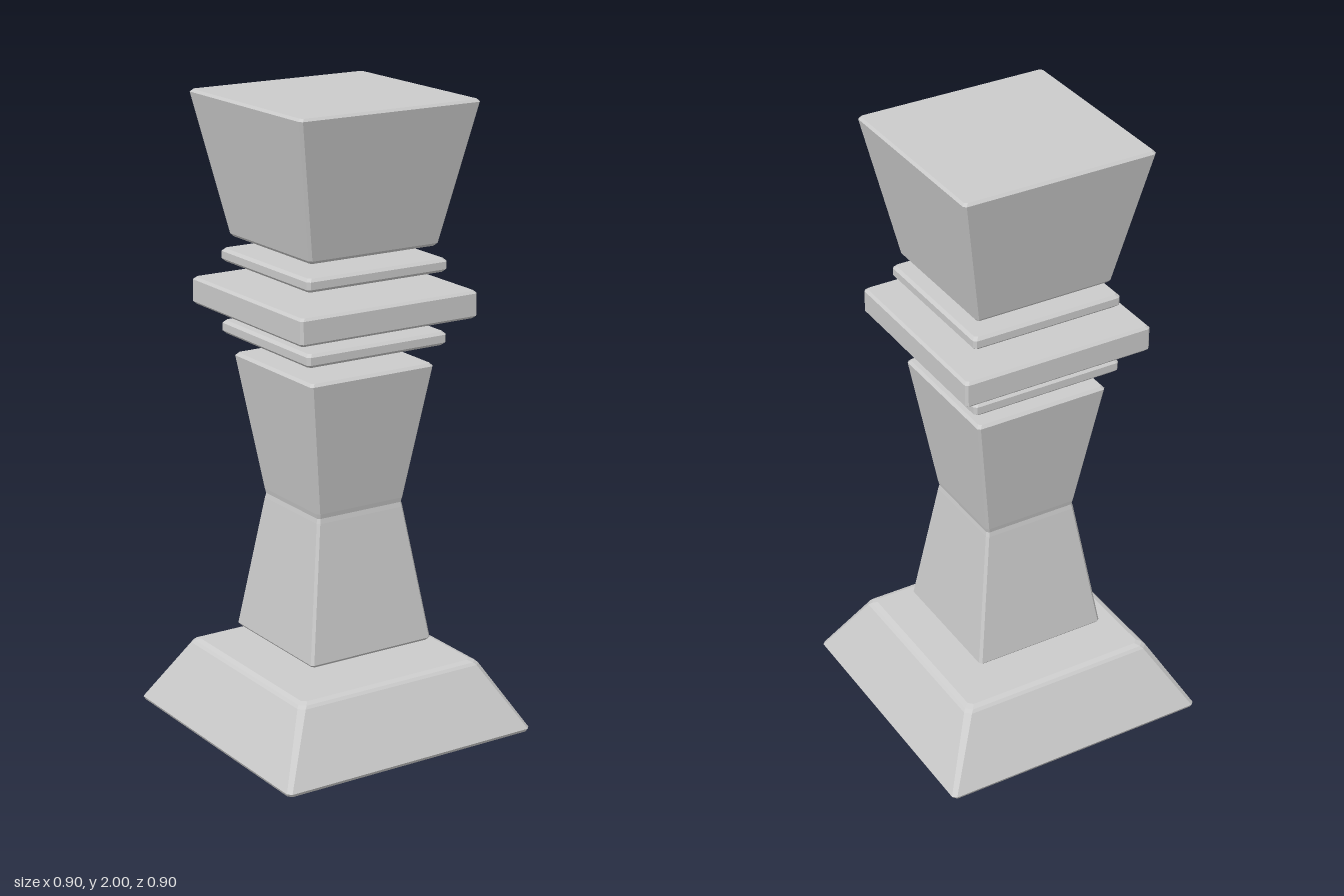
import * as THREE from 'three';

const material = new THREE.MeshStandardMaterial({ color: 0xcccccc, flatShading: true });

// Square cross-section of half-width h with corners cut by c
function ring(h, y, c) {
  const k = h - c;
  return [[h, -k], [h, k], [k, h], [-k, h], [-h, k], [-h, -k], [-k, -h], [k, -h]]
    .map(([x, z]) => [x, y, z]);
}

// Solid skinned through [halfWidth, y, cornerCut] sections, bottom to top
function loft(name, sections) {
  const rings = sections.map(([h, y, c]) => ring(h, y, c));
  const n = 8, index = [], last = (rings.length - 1) * n;
  for (let i = 0; i < rings.length - 1; i++) {
    for (let j = 0; j < n; j++) {
      const a = i * n + j, b = i * n + (j + 1) % n;
      index.push(a, a + n, b, b, a + n, b + n);
    }
  }
  for (let j = 1; j < n - 1; j++) {
    index.push(0, j, j + 1, last, last + j + 1, last + j);
  }
  const indexed = new THREE.BufferGeometry();
  indexed.setAttribute('position', new THREE.Float32BufferAttribute(rings.flat(2), 3));
  indexed.setIndex(index);
  const geometry = indexed.toNonIndexed();
  geometry.computeVertexNormals();
  const mesh = new THREE.Mesh(geometry, material);
  mesh.name = name;
  return mesh;
}

// Flat square plate with bevelled rims
function plate(name, h, y0, y1, bevel) {
  return loft(name, [
    [h - bevel, y0, bevel], [h, y0 + bevel, bevel],
    [h, y1 - bevel, bevel], [h - bevel, y1, bevel],
  ]);
}

export function createModel() {
  const group = new THREE.Group();
  group.name = 'squareColumnPiece';

  // Sloped foot
  group.add(loft('base', [
    [0.445, 0, 0.012], [0.45, 0.01, 0.012],
    [0.336, 0.214, 0.018], [0.328, 0.222, 0.018], [0.312, 0.228, 0.014],
  ]));

  // Waisted shaft
  group.add(loft('body', [
    [0.214, 0.283, 0.008], [0.222, 0.292, 0.008],
    [0.158, 0.72, 0.008], [0.155, 0.735, 0.008], [0.158, 0.75, 0.008],
    [0.222, 1.177, 0.008], [0.214, 1.186, 0.008],
  ]));

  // Stacked collars
  group.add(plate('lowerCollar', 0.25, 1.246, 1.288, 0.009));
  group.add(plate('middleCollar', 0.315, 1.335, 1.42, 0.008));
  group.add(plate('upperCollar', 0.25, 1.474, 1.515, 0.009));

  // Flared head
  group.add(loft('head', [
    [0.222, 1.553, 0.008], [0.23, 1.562, 0.008],
    [0.315, 1.992, 0.008], [0.308, 2, 0.008],
  ]));

  // Rod threading the parts together
  const rod = new THREE.Mesh(new THREE.BoxGeometry(0.09, 1.4, 0.09), material);
  rod.name = 'coreRod';
  rod.position.y = 0.9;
  group.add(rod);

  return group;
}
